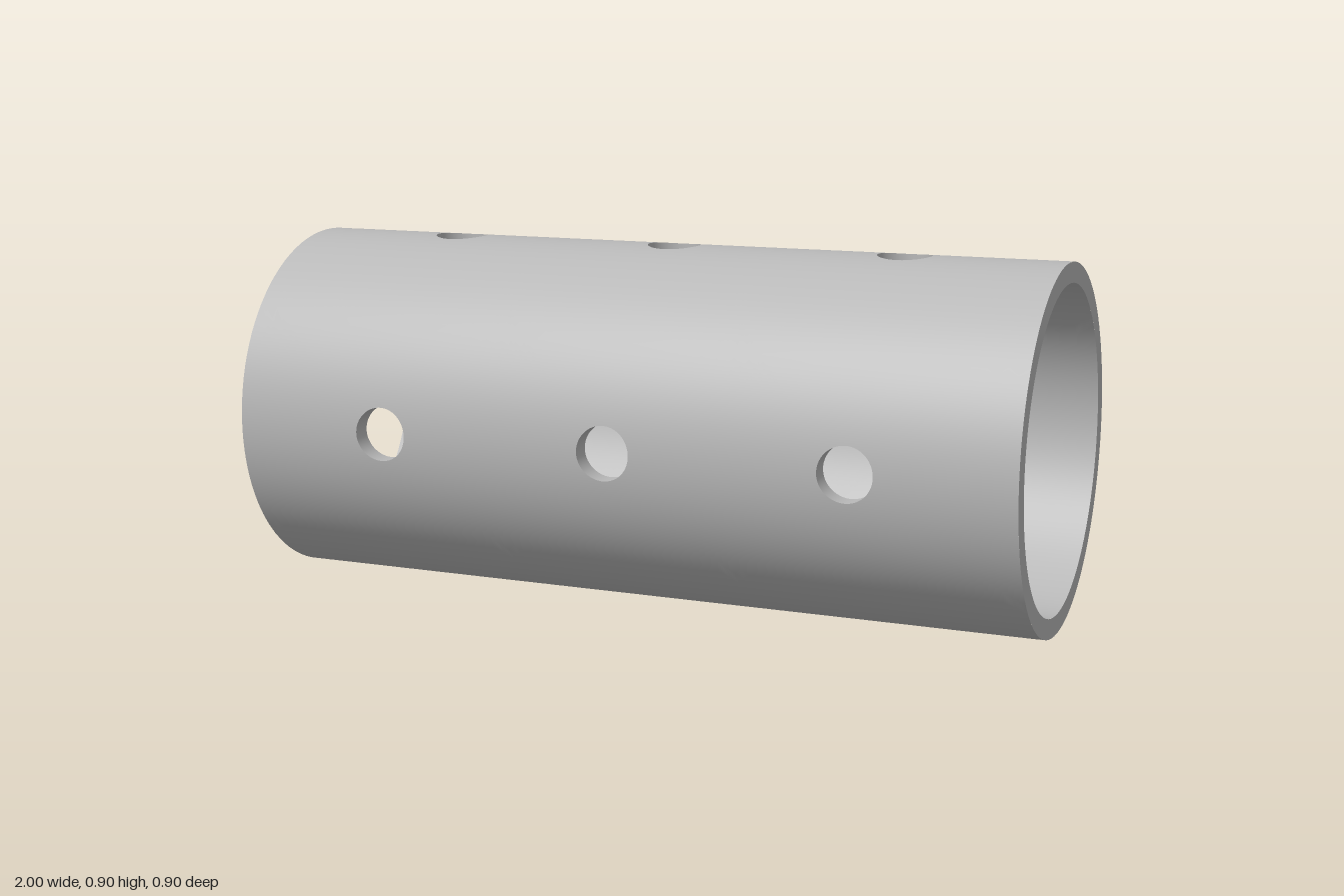
import * as THREE from 'three';

const OUTER = 0.45, INNER = 0.4, HOLE = 0.067, AXIS_Y = 0.45;
const AROUND = 96, STEPS = 14;
// Lengthwise cells: [start, end, hole centre]
const CELLS = [[-1, -0.3, -0.6], [-0.3, 0.3, 0], [0.3, 1, 0.6]];

// Smooth grid surface; sample(s, t) returns [position, normal]
function grid(rows, cols, sample, flip) {
  const pos = [], nor = [], idx = [];
  for (let i = 0; i <= rows; i++) {
    for (let j = 0; j <= cols; j++) {
      const [p, n] = sample(i / rows, (j / cols) * Math.PI * 2);
      pos.push(...p);
      nor.push(...n);
      if (i === rows || j === cols) continue;
      const a = i * (cols + 1) + j, b = a + cols + 1;
      if (flip) idx.push(a, b + 1, b, a, a + 1, b + 1);
      else idx.push(a, b, b + 1, a, b + 1, a + 1);
    }
  }
  const g = new THREE.BufferGeometry();
  g.setAttribute('position', new THREE.Float32BufferAttribute(pos, 3));
  g.setAttribute('normal', new THREE.Float32BufferAttribute(nor, 3));
  g.setIndex(idx);
  return g;
}

const onTube = (x, phi, r) => [x, AXIS_Y + r * Math.cos(phi), r * Math.sin(phi)];

// Quarter-turn wall panel spreading from a round hole to its rectangular border
function panel([x0, x1, xc], phi0, r, outward) {
  const sign = outward ? 1 : -1;
  return grid(STEPS, AROUND, (s, t) => {
    const c = Math.cos(t), d = Math.sin(t), m = Math.max(Math.abs(c), Math.abs(d));
    const xEdge = THREE.MathUtils.lerp(x0, x1, (c / m + 1) / 2);
    const aEdge = (d / m) * Math.PI / 4;
    const x = THREE.MathUtils.lerp(xc + HOLE * c, xEdge, s);
    const phi = phi0 + THREE.MathUtils.lerp(Math.asin(HOLE * d / r), aEdge, s);
    return [onTube(x, phi, r), [0, sign * Math.cos(phi), sign * Math.sin(phi)]];
  }, outward);
}

// Straight-sided hole wall through the tube thickness
function bore(xc, phi0) {
  return grid(1, AROUND, (s, t) => {
    const r = THREE.MathUtils.lerp(INNER, OUTER, s), c = Math.cos(t), d = Math.sin(t);
    const phi = phi0 + Math.asin(HOLE * d / r);
    return [onTube(xc + HOLE * c, phi, r), [-c, d * Math.sin(phi0), -d * Math.cos(phi0)]];
  }, true);
}

export function createModel() {
  const model = new THREE.Group();
  model.name = 'perforatedTube';
  const grey = new THREE.MeshStandardMaterial({ color: 0xb8b8b8 });
  grey.name = 'grey';
  const add = (name, geometry) => {
    const mesh = new THREE.Mesh(geometry, grey);
    mesh.name = name;
    model.add(mesh);
    return mesh;
  };

  // Four rows of three holes
  for (let q = 0; q < 4; q++) {
    const phi = q * Math.PI / 2;
    for (const cell of CELLS) {
      add('outerWall', panel(cell, phi, OUTER, true));
      add('innerWall', panel(cell, phi, INNER, false));
      add('holeWall', bore(cell[2], phi));
    }
  }

  // Flat end rims
  for (const side of [-1, 1]) {
    const rim = add('endRim', new THREE.RingGeometry(INNER, OUTER, AROUND));
    rim.rotation.y = side * Math.PI / 2;
    rim.position.set(side, AXIS_Y, 0);
  }
  return model;
}
